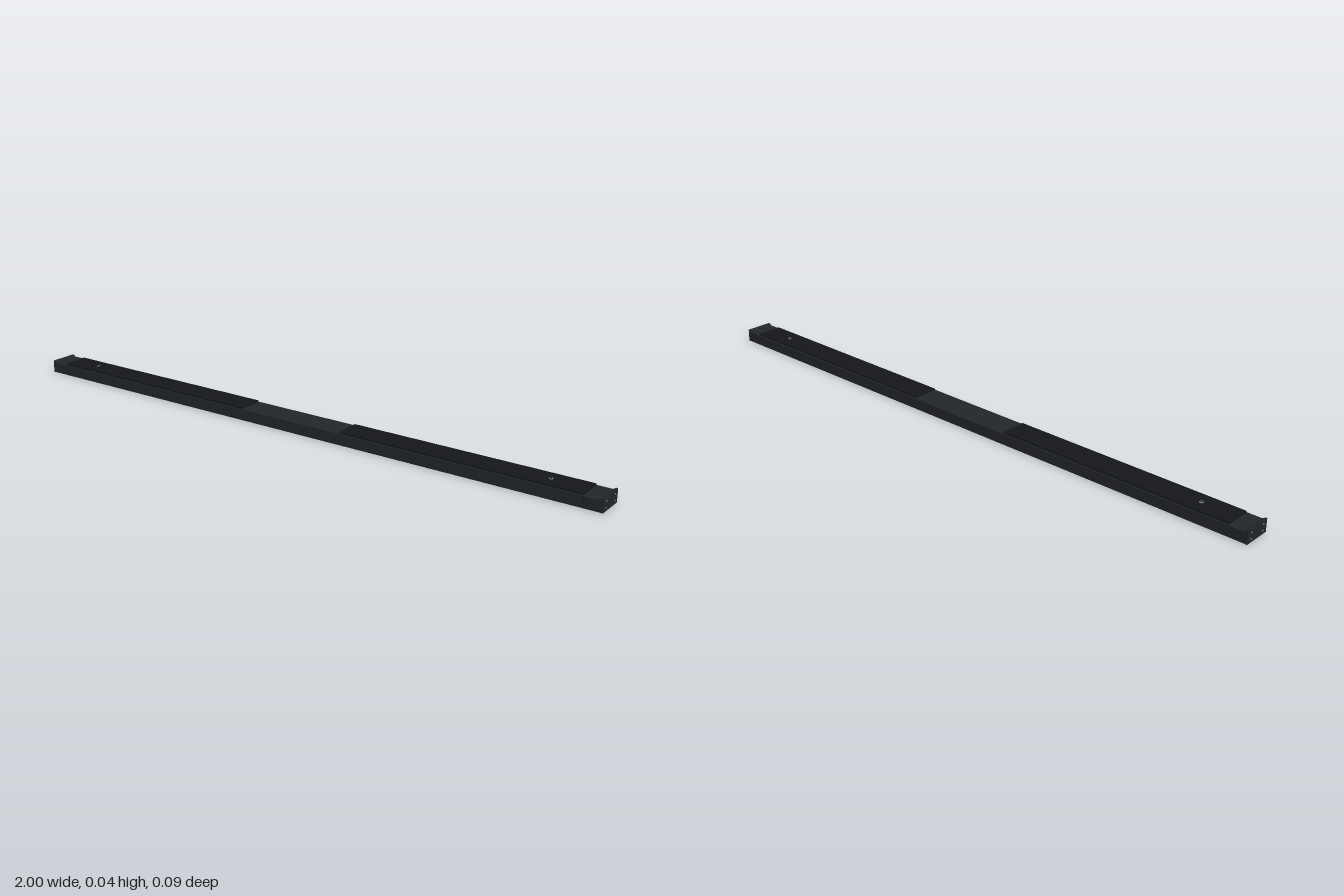
import * as THREE from 'three';

const material = (color) => new THREE.MeshStandardMaterial({ color });

export function createModel() {
  const model = new THREE.Group();
  const dark = material(0x22262b);
  const black = material(0x15171a);
  const steel = material(0x777b80);

  const add = (name, geometry, mat, x = 0, y = 0, z = 0, parent = model) => {
    const mesh = new THREE.Mesh(geometry, mat);
    mesh.name = name;
    mesh.position.set(x, y, z);
    parent.add(mesh);
    return mesh;
  };

  // Channel rail: half profile (z, y) from the outer top edge to the centre rib, then mirrored
  const half = [
    [0.0435, 0.035], [0.0445, 0.034], [0.0445, 0.001], [0.0435, 0],
    [0.036, 0], [0.036, 0.004], [0.040, 0.004], [0.040, 0.024],
    [0.004, 0.024], [0.004, 0.019],
  ];
  const points = [...half, ...half.map(([z, y]) => [-z, y]).reverse()]
    .map(([z, y]) => new THREE.Vector2(z, y));
  const railLength = 1.984;
  const rail = new THREE.ExtrudeGeometry(new THREE.Shape(points), {
    depth: railLength, bevelEnabled: false,
  });
  rail.translate(0, 0, -railLength / 2).rotateY(Math.PI / 2);
  add('channelRail', rail, dark);

  for (const side of [-1, 1]) {
    // Thin pad on each half of the top, with its fixing screw
    add('topPad', new THREE.BoxGeometry(0.76, 0.005, 0.082), black, side * 0.56, 0.0375, 0);
    add('topScrew', new THREE.CylinderGeometry(0.006, 0.006, 0.002, 16), steel, side * 0.83, 0.0405, 0);
    add('topScrewSocket', new THREE.CylinderGeometry(0.003, 0.003, 0.0006, 6), black, side * 0.83, 0.0416, 0);

    // End cap with a sloped lip facing inward
    const cap = new THREE.Group();
    cap.name = 'endCap';
    cap.rotation.y = side > 0 ? 0 : Math.PI;
    model.add(cap);
    const capShape = new THREE.Shape([
      [0.992, 0], [0.9985, 0], [0.9985, 0.04], [0.993, 0.04], [0.986, 0.035], [0.992, 0.035],
    ].map(([x, y]) => new THREE.Vector2(x, y)));
    const capGeometry = new THREE.ExtrudeGeometry(capShape, { depth: 0.089, bevelEnabled: false });
    add('capPlate', capGeometry, dark, 0, 0, -0.0445, cap);

    // Four screws in each cap
    for (const z of [-0.028, 0.028]) {
      for (const y of [0.011, 0.03]) {
        const head = new THREE.CylinderGeometry(0.0025, 0.0025, 0.002, 12).rotateZ(Math.PI / 2);
        add('capScrew', head, steel, 0.999, y, z, cap);
      }
    }
  }

  // Small round button on the front face
  const ring = new THREE.TorusGeometry(0.008, 0.001, 6, 24);
  add('buttonRing', ring, black, 0.95, 0.022, 0.0445);
  const button = new THREE.CylinderGeometry(0.006, 0.006, 0.001, 24).rotateX(Math.PI / 2);
  add('button', button, dark, 0.95, 0.022, 0.0446);

  return model;
}
